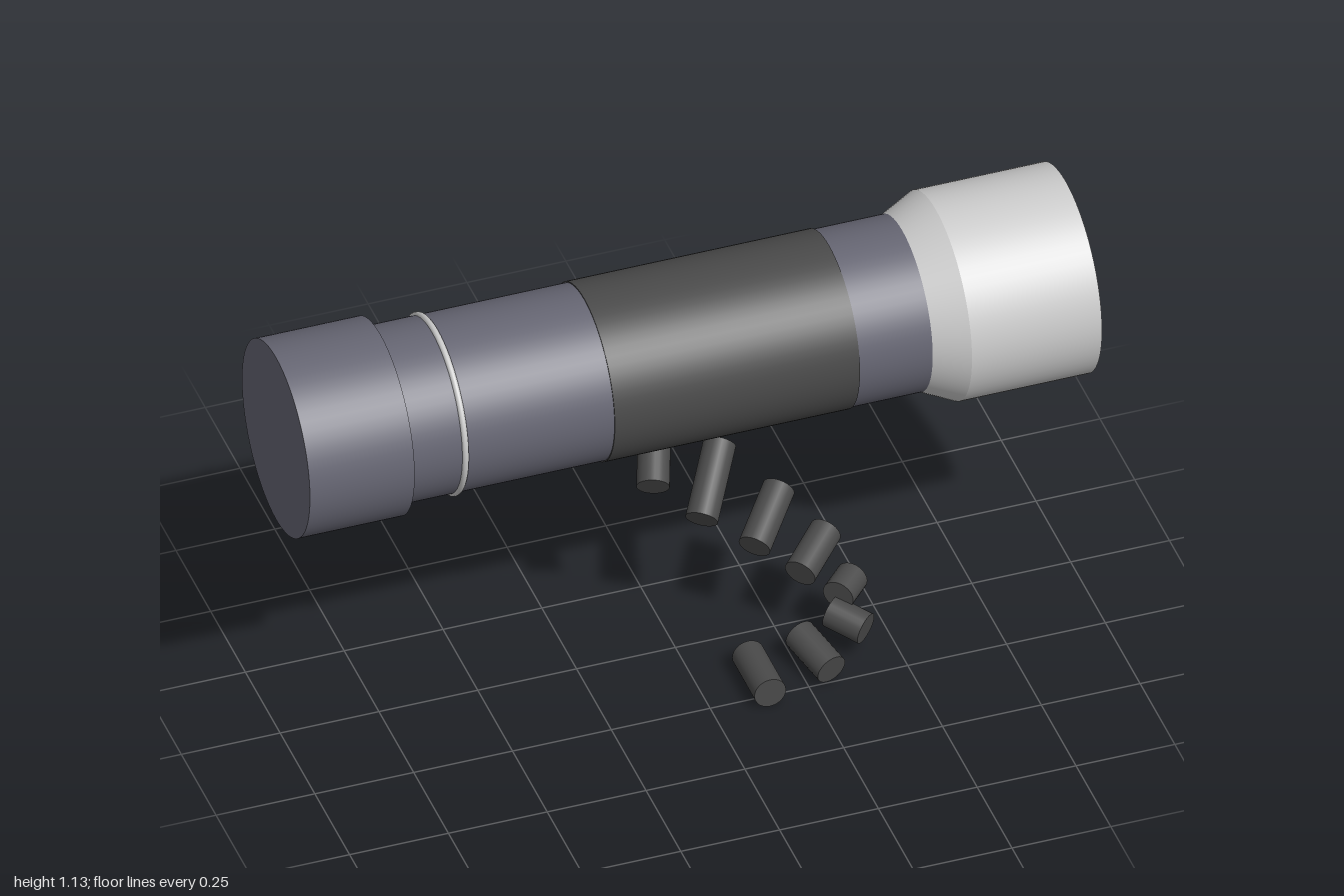
import * as THREE from 'three';

const AXIS_Y = 0.87, AXIS_Z = -0.03;

function material(color) {
  return new THREE.MeshStandardMaterial({ color });
}

// Solid turned about the x axis from [x, radius] pairs, with crisp edges between sections
function turned(name, profile, mat) {
  const group = new THREE.Group();
  group.name = name;
  const [first, last] = [profile[0], profile[profile.length - 1]];
  for (let i = 0; i < profile.length - 1; i++) {
    const [x0, r0] = profile[i], [x1, r1] = profile[i + 1];
    const geo = new THREE.CylinderGeometry(r1, r0, x1 - x0, 64, 1, true);
    geo.rotateZ(-Math.PI / 2);
    const wall = new THREE.Mesh(geo, mat);
    wall.name = name + 'Wall';
    wall.position.x = (x0 + x1) / 2;
    group.add(wall);
  }
  for (const [[x, r], dir] of [[first, -1], [last, 1]]) {
    const end = new THREE.Mesh(new THREE.CircleGeometry(r, 64), mat);
    end.name = name + 'End';
    end.rotation.y = dir * Math.PI / 2;
    end.position.x = x;
    group.add(end);
  }
  return group;
}

export function createModel() {
  const model = new THREE.Group();
  model.name = 'flashlight';
  const dark = material(0x666673), black = material(0x4a4a4a), light = material(0xcccccc);

  // Torch, lying along x
  const torch = new THREE.Group();
  torch.name = 'torch';
  torch.position.set(0, AXIS_Y, AXIS_Z);
  model.add(torch);
  torch.add(
    turned('barrel', [[-0.99, 0.218], [0.99, 0.218]], dark),
    turned('tailCap', [[-1, 0.245], [-0.735, 0.245]], dark),
    turned('grip', [[-0.22, 0.221], [0.4, 0.221]], black),
    turned('head', [[0.585, 0.218], [0.67, 0.259], [0.999, 0.259]], light)
  );

  // Lens disc in the front of the head
  const lens = new THREE.Mesh(new THREE.CircleGeometry(0.218, 64), dark);
  lens.name = 'lens';
  lens.rotation.y = Math.PI / 2;
  lens.position.x = 1;
  torch.add(lens);

  // Thin band near the tail
  const ring = new THREE.Mesh(new THREE.TorusGeometry(0.218, 0.008, 12, 64), light);
  ring.name = 'ring';
  ring.rotation.y = Math.PI / 2;
  ring.position.x = -0.597;
  torch.add(ring);

  // Wrist strap: separate short rods curling down to the floor (centre, direction, length)
  const rods = [
    [[-0.045, 0.583, -0.027], [0.31, 0.47, -0.82], 0.18],
    [[0.099, 0.457, -0.028], [0.48, 0.5, -0.72], 0.2],
    [[0.235, 0.325, -0.012], [0.61, 0.375, -0.7], 0.17],
    [[0.337, 0.225, 0.031], [0.7, 0.25, -0.67], 0.14],
    [[0.398, 0.15, 0.09], [0.7, 0.06, -0.7], 0.078],
    [[0.385, 0.094, 0.149], [-0.65, 0.18, -0.73], 0.097],
    [[0.286, 0.056, 0.194], [-0.28, 0.19, -0.94], 0.133],
    [[0.138, 0.04, 0.21], [0, 0, -1], 0.16]
  ];
  const strap = new THREE.Group();
  strap.name = 'wristStrap';
  for (const [centre, direction, length] of rods) {
    const rod = new THREE.Mesh(new THREE.CylinderGeometry(0.04, 0.04, length, 24), black);
    rod.name = 'strapRod';
    rod.position.set(...centre);
    rod.quaternion.setFromUnitVectors(
      new THREE.Vector3(0, 1, 0), new THREE.Vector3(...direction).normalize());
    strap.add(rod);
  }
  model.add(strap);
  return model;
}
